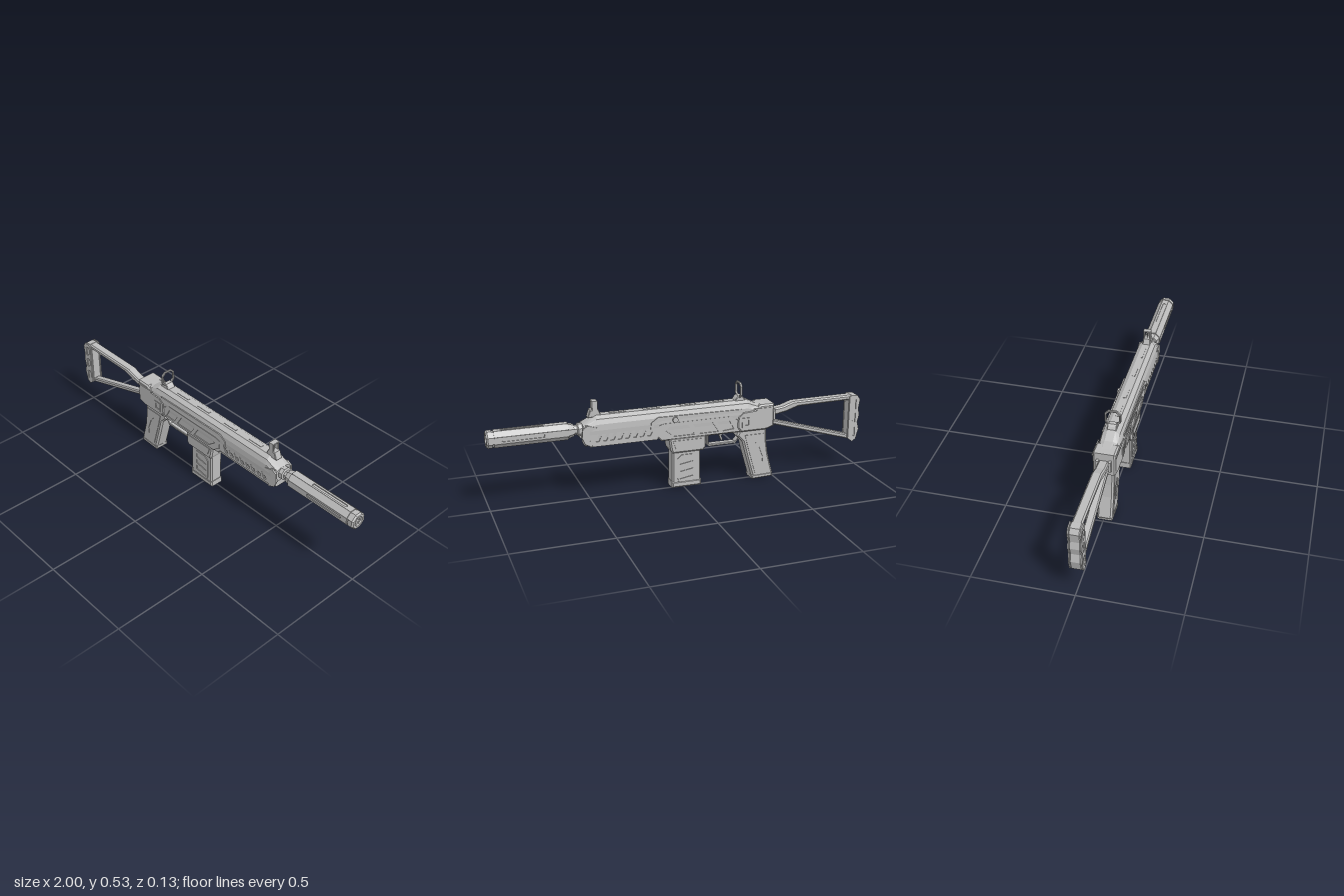
import * as THREE from 'three';

const Z = 0.006; // centre plane of the body
const metal = new THREE.MeshStandardMaterial({ color: 0xbcbcbc, flatShading: true });
metal.name = 'grey';

const vec = (pts) => pts.map(([x, y]) => new THREE.Vector2(x, y));

export function createModel() {
  const model = new THREE.Group();
  model.name = 'rifle';

  const add = (name, geo, x = 0, y = 0, z = 0) => {
    const mesh = new THREE.Mesh(geo, metal);
    mesh.name = name;
    mesh.position.set(x, y, z);
    model.add(mesh);
    return mesh;
  };

  // Side outline (x, y) extruded symmetrically about z, with chamfered edges and holes
  const slab = (pts, depth, bevel = 0, holes = []) => {
    const shape = new THREE.Shape(vec(pts));
    holes.forEach((h) => shape.holes.push(new THREE.Path(vec(h))));
    const geo = new THREE.ExtrudeGeometry(shape, {
      depth: depth - 2 * bevel, bevelEnabled: bevel > 0, bevelSegments: 1,
      bevelThickness: bevel, bevelSize: bevel, bevelOffset: -bevel,
    });
    return geo.translate(0, 0, bevel - depth / 2);
  };
  const part = (name, pts, depth, bevel, holes) => add(name, slab(pts, depth, bevel, holes), 0, 0, Z);

  // The same thin plate on both flanks, its middle at distance half from the centre plane
  const flanks = (name, pts, half, thick, holes) => {
    for (const s of [1, -1]) add(name, slab(pts, thick, 0, holes), 0, 0, Z + s * half);
  };
  const box = (name, x0, x1, y0, y1, depth, z = Z) =>
    add(name, new THREE.BoxGeometry(x1 - x0, y1 - y0, depth), (x0 + x1) / 2, (y0 + y1) / 2, z);
  const rect = (x0, x1, y0, y1) => [[x0, y0], [x1, y0], [x1, y1], [x0, y1]];
  const slant = (x, y0, y1, w, lean) => [[x, y0], [x + w, y0], [x + w + lean, y1], [x + lean, y1]];

  // Loft along x; each section is [x, half profile of (z, y) from the top down]
  const loft = (sections) => {
    const pos = [], index = [], n = sections[0][1].length * 2;
    for (const [x, half] of sections) {
      const ring = [...half, ...half.slice().reverse().map(([z, y]) => [-z, y])];
      ring.forEach(([z, y]) => pos.push(x, y, z));
    }
    for (let i = 0; i < sections.length - 1; i++) {
      for (let j = 0; j < n; j++) {
        const a = i * n + j, b = i * n + (j + 1) % n;
        index.push(a, b, a + n, b, b + n, a + n);
      }
    }
    const last = (sections.length - 1) * n;
    for (let j = 1; j < n - 1; j++) index.push(0, j + 1, j, last, last + j, last + j + 1);
    const geo = new THREE.BufferGeometry();
    geo.setAttribute('position', new THREE.Float32BufferAttribute(pos, 3));
    geo.setIndex(index);
    geo.computeVertexNormals();
    return geo;
  };

  // Top cover, sloping down at both ends
  const cover = (x, top) => {
    const k = (top - 0.37) / 0.07;
    return [x, [[0.02, 0.44], [0.042, 0.425], [0.051, 0.4], [0.053, 0.37]]
      .map(([z, y]) => [z, 0.37 + (y - 0.37) * k]).concat([[0.051, 0.33]])];
  };
  add('topCover', loft([cover(-0.48, 0.41), cover(-0.39, 0.415), cover(-0.34, 0.44),
    cover(0.46, 0.44), cover(0.53, 0.402)]), 0, 0, Z);
  for (const x of [-0.18, -0.025, 0.17, 0.345]) box('topVent', x - 0.042, x + 0.042, 0.438, 0.442, 0.016);

  // Receiver
  part('rearReceiver', [[-0.485, 0.29], [-0.44, 0.275], [-0.3, 0.275], [-0.28, 0.3], [-0.28, 0.36],
    [-0.31, 0.385], [-0.38, 0.39], [-0.41, 0.412], [-0.485, 0.412]], 0.112, 0.008);
  part('lowerReceiver', [[-0.31, 0.275], [0.13, 0.275], [0.15, 0.295], [0.15, 0.375], [-0.31, 0.375]], 0.1, 0.006);
  flanks('receiverPanel', [[-0.28, 0.3], [-0.255, 0.283], [0.1, 0.283], [0.145, 0.315], [0.145, 0.36],
    [0.12, 0.368], [-0.24, 0.368], [-0.28, 0.345]], 0.051, 0.008, [
    [[-0.26, 0.3], [-0.2, 0.295], [-0.165, 0.35], [-0.235, 0.345]],
    [[-0.175, 0.295], [-0.07, 0.295], [-0.035, 0.35], [-0.14, 0.35]],
    [[-0.045, 0.295], [0.065, 0.295], [0.11, 0.33], [0.09, 0.35], [-0.01, 0.35]]]);
  flanks('selectorPlate', rect(-0.35, -0.305, 0.3, 0.352), 0.057, 0.006,
    [rect(-0.34, -0.315, 0.312, 0.34)]);
  flanks('sideRail', [[-0.3, 0.385], [0.13, 0.385], [0.17, 0.37], [0.18, 0.34], [0.19, 0.34], [0.185, 0.38],
    [0.15, 0.405], [-0.3, 0.4]], 0.053, 0.006);
  flanks('rearNotch', [[-0.48, 0.388], [-0.38, 0.388], [-0.365, 0.396], [-0.48, 0.396]], 0.057, 0.006);
  const knob = add('chargingKnob', new THREE.CylinderGeometry(0.015, 0.015, 0.018, 8), 0.06, 0.385, -0.051);
  knob.rotation.x = Math.PI / 2;

  // Handguard with slanted grooves
  const guard = [[0.046, 0.4], [0.046, 0.31], [0.03, 0.288]];
  add('handguard', loft([[0.13, guard], [0.52, guard]]), 0, 0, Z);
  const grooves = [];
  for (let i = 0; i < 8; i++) grooves.push(slant(0.188 + i * 0.038, 0.313, 0.362, 0.018, -0.022));
  flanks('handguardPanel', [[0.145, 0.3], [0.49, 0.3], [0.52, 0.32], [0.525, 0.37], [0.145, 0.375]], 0.048, 0.008, grooves);
  flanks('frontLip', [[0.46, 0.385], [0.5, 0.37], [0.508, 0.33], [0.485, 0.305], [0.49, 0.29], [0.525, 0.305],
    [0.54, 0.34], [0.535, 0.385], [0.51, 0.4]], 0.051, 0.008);
  flanks('handguardLowerRail', rect(0.15, 0.5, 0.286, 0.3), 0.04, 0.014);

  // Magazine and its well
  part('magazineWell', [[-0.11, 0.285], [-0.11, 0.218], [-0.095, 0.2], [0.07, 0.2], [0.08, 0.218],
    [0.09, 0.285]], 0.1, 0.008);
  flanks('wellPanel', [[-0.095, 0.268], [-0.085, 0.225], [0.055, 0.225], [0.07, 0.268]], 0.05, 0.006);
  part('magazine', [[-0.085, 0.21], [-0.085, 0.01], [0.068, 0.01], [0.068, 0.21]], 0.072, 0.007);
  part('magazineBase', rect(-0.088, 0.071, 0.008, 0.04), 0.077, 0.006);
  flanks('magazinePanel', [[-0.055, 0.06], [-0.03, 0.04], [0.035, 0.04], [0.042, 0.06], [0.042, 0.165],
    [0.02, 0.185], [-0.045, 0.185], [-0.055, 0.165]], 0.037, 0.006,
    [0.06, 0.1, 0.14].map((y) => [[-0.042, y + 0.006], [0.03, y - 0.006], [0.03, y + 0.018], [-0.042, y + 0.028]]));

  // Pistol grip with a lens-shaped inset on each side
  part('grip', [[-0.45, 0.285], [-0.3, 0.285], [-0.285, 0.25], [-0.318, 0.215], [-0.338, 0.14], [-0.37, 0.03],
    [-0.375, 0], [-0.485, 0.004], [-0.495, 0.02], [-0.465, 0.13], [-0.455, 0.2]], 0.076, 0.009);
  flanks('gripPanel', [[-0.435, 0.25], [-0.33, 0.25], [-0.345, 0.19], [-0.39, 0.035], [-0.47, 0.03], [-0.445, 0.13]],
    0.038, 0.006, [[[-0.385, 0.21], [-0.41, 0.18], [-0.432, 0.12], [-0.43, 0.085], [-0.4, 0.12], [-0.383, 0.175]]]);
  part('gripBase', [[-0.492, 0.004], [-0.375, 0], [-0.37, 0.022], [-0.488, 0.026]], 0.08, 0.005);

  // Trigger and guard
  part('triggerGuard', [[-0.3, 0.225], [-0.285, 0.204], [-0.135, 0.204], [-0.125, 0.215], [-0.125, 0.28],
    [-0.137, 0.28], [-0.137, 0.217], [-0.28, 0.217], [-0.3, 0.24]], 0.034, 0.003);
  part('trigger', [[-0.22, 0.28], [-0.205, 0.28], [-0.2, 0.25], [-0.208, 0.228], [-0.216, 0.231],
    [-0.21, 0.25]], 0.016);

  // Skeleton stock: two struts and a butt plate with pockets
  part('upperStrut', [[-0.95, 0.376], [-0.64, 0.372], [-0.57, 0.35], [-0.46, 0.33], [-0.46, 0.368],
    [-0.55, 0.38], [-0.61, 0.4], [-0.95, 0.402]], 0.05, 0.007);
  part('lowerStrut', [[-0.95, 0.152], [-0.46, 0.297], [-0.46, 0.322], [-0.95, 0.178]], 0.04, 0.006);
  flanks('strutClamp', [[-0.5, 0.32], [-0.46, 0.3], [-0.46, 0.38], [-0.5, 0.375]], 0.03, 0.014);
  const butt = [[-0.938, 0.395], [-0.95, 0.403], [-0.985, 0.4], [-1, 0.375], [-0.992, 0.325], [-1, 0.29],
    [-0.99, 0.25], [-1, 0.21], [-0.985, 0.155], [-0.965, 0.14], [-0.938, 0.16]];
  part('buttPlate', butt, 0.056, 0.006);
  flanks('buttSide', butt, 0.03, 0.006, [0.17, 0.25, 0.325].map((y) =>
    [[-0.977, y], [-0.953, y + 0.012], [-0.953, y + 0.055], [-0.977, y + 0.052]]));

  // Barrel and eight-sided suppressor
  const lathe = (name, profile) => add(name, new THREE.LatheGeometry(vec(profile), 8, Math.PI / 8)
    .rotateZ(-Math.PI / 2), 0, 0.37, Z);
  lathe('barrel', [[0, 0.5], [0.034, 0.5], [0.034, 0.55], [0.025, 0.555], [0.025, 0.59], [0, 0.59]]);
  lathe('suppressor', [[0, 0.57], [0.032, 0.57], [0.04, 0.6], [0.041, 0.97], [0.045, 0.97], [0.045, 0.992],
    [0.038, 1], [0.026, 1], [0.024, 0.992], [0.014, 0.992], [0.014, 0.96], [0, 0.96]]);
  for (let i = 0; i < 8; i++) {
    const shell = slab([[0.6, -0.015], [0.615, -0.017], [0.962, -0.017], [0.962, 0.017], [0.615, 0.017], [0.6, 0.015]],
      0.006, 0, i % 2 ? [] : [[[0.72, -0.007], [0.92, -0.007], [0.93, 0], [0.92, 0.007], [0.72, 0.007]]]);
    shell.translate(0, 0, 0.039).rotateX(i * Math.PI / 4);
    add('suppressorFlat', shell, 0, 0.37, Z);
  }

  // Rear ring sight
  const octagon = (hw, hh, c) => [[-hw + c, -hh], [hw - c, -hh], [hw, -hh + c], [hw, hh - c],
    [hw - c, hh], [-hw + c, hh], [-hw, hh - c], [-hw, -hh + c]];
  const ring = slab(octagon(0.04, 0.041, 0.018), 0.012, 0.002, [octagon(0.031, 0.032, 0.014)]);
  add('rearSightRing', ring.rotateY(Math.PI / 2), -0.305, 0.493, Z);
  part('rearSightBase', [[-0.34, 0.43], [-0.27, 0.43], [-0.285, 0.452], [-0.295, 0.462], [-0.315, 0.462],
    [-0.325, 0.452]], 0.046, 0.003);

  // Front post sight
  part('frontSightBase', [[0.43, 0.43], [0.5, 0.43], [0.487, 0.468], [0.445, 0.468]], 0.04, 0.003);
  const frame = slab(rect(-0.02, 0.02, -0.025, 0.025), 0.03, 0.002, [rect(-0.014, 0.014, -0.025 + 0.006, 0.019)]);
  add('frontSightFrame', frame.rotateY(Math.PI / 2), 0.463, 0.487, Z);
  box('frontSightPost', 0.46, 0.466, 0.465, 0.494, 0.004);

  return model;
}
